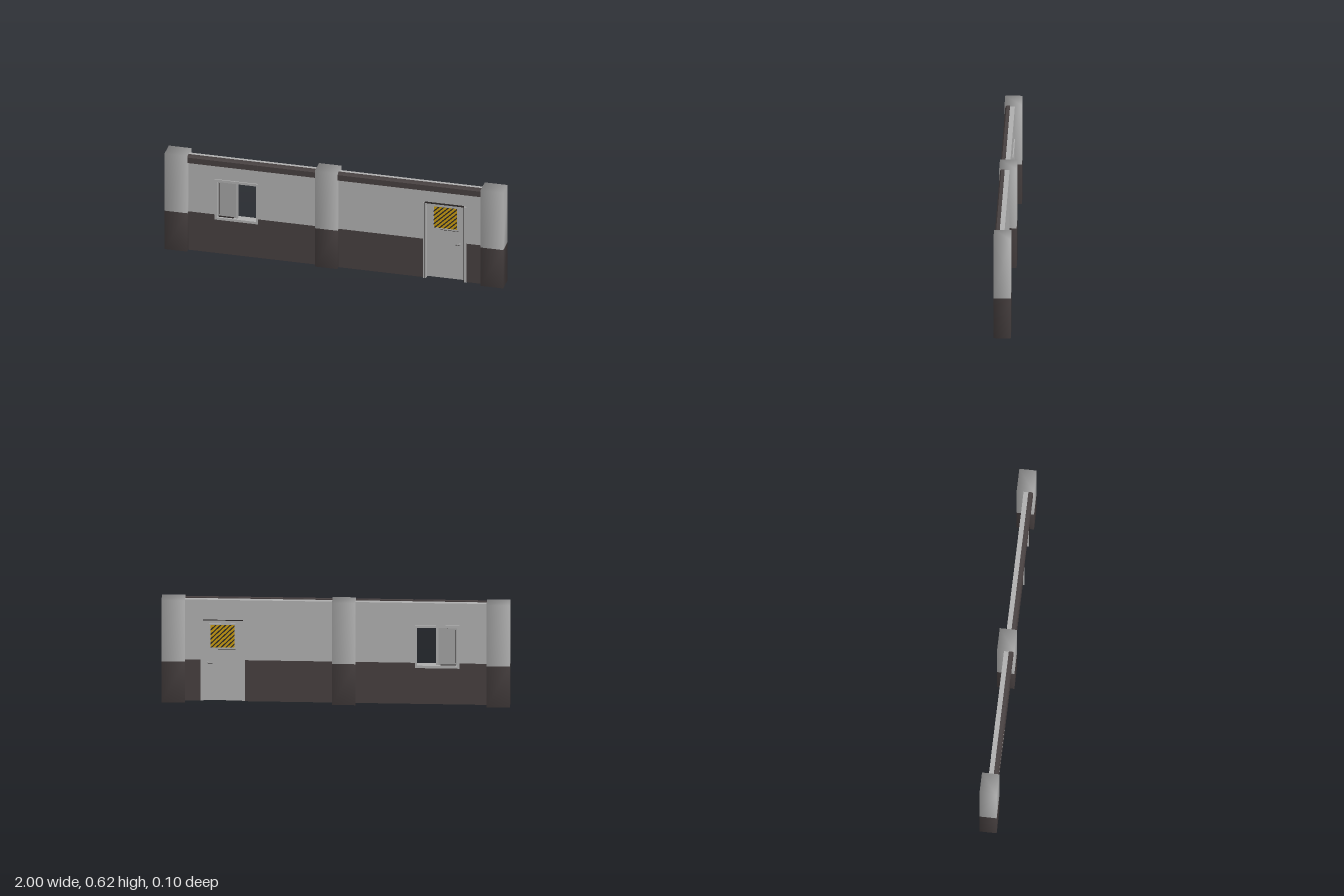
import * as THREE from 'three';
import { mergeVertices } from 'three/addons/utils/BufferGeometryUtils.js';

const mat = (name, color, side = THREE.FrontSide) => {
  const m = new THREE.MeshStandardMaterial({ color, side });
  m.name = name;
  return m;
};

export function createModel() {
  const root = new THREE.Group();
  root.name = 'wallSection';
  const light = mat('lightGrey', 0xaeaeae);
  const mid = mat('midGrey', 0xa2a2a2);
  const dark = mat('darkBrown', 0x463f3f);
  const black = mat('nearBlack', 0x2a2626);
  const yellow = mat('signYellow', 0xc99c10);

  const H = 0.622, BAND = 0.25;      // full height, top of the dark paint
  const BACK = -0.01, FRONT = 0.025; // wall faces

  const add = (name, geo, m, parent = root) => {
    const mesh = new THREE.Mesh(geo, m);
    mesh.name = name;
    parent.add(mesh);
    return mesh;
  };
  // box given by its limits
  const box = (name, m, x0, x1, y0, y1, z0, z1, parent = root) => {
    const g = new THREE.BoxGeometry(x1 - x0, y1 - y0, z1 - z0);
    g.translate((x0 + x1) / 2, (y0 + y1) / 2, (z0 + z1) / 2);
    return add(name, g, m, parent);
  };
  // wall slab from an outline
  const slab = (name, m, pts) => {
    const s = new THREE.Shape(pts.map(([x, y]) => new THREE.Vector2(x, y)));
    const g = new THREE.ExtrudeGeometry(s, { depth: FRONT - BACK, bevelEnabled: false });
    g.translate(0, 0, BACK);
    return add(name, g, m);
  };

  // pillars: softly shaded boxes, dark below and light above
  const pillarGeo = (w) => {
    let g = new THREE.BoxGeometry(w, H, 0.1, 1, 2, 1);
    g.translate(0, H / 2, 0);
    const p = g.attributes.position;
    for (let i = 0; i < p.count; i++) {
      if (Math.abs(p.getY(i) - H / 2) < 0.01) p.setY(i, BAND);
    }
    g.deleteAttribute('normal');
    g.deleteAttribute('uv');
    g.clearGroups();
    g = mergeVertices(g);
    g.computeVertexNormals();
    const q = g.attributes.position, idx = g.index.array, low = [], high = [];
    for (let i = 0; i < idx.length; i += 3) {
      const tri = [idx[i], idx[i + 1], idx[i + 2]];
      const y = tri.reduce((s, k) => s + q.getY(k), 0) / 3;
      (y < BAND ? low : high).push(...tri);
    }
    g.setIndex([...low, ...high]);
    g.addGroup(0, low.length, 0);
    g.addGroup(low.length, high.length, 1);
    return g;
  };
  for (const [name, x] of [['rightPillar', -0.933], ['middlePillar', -0.046], ['leftPillar', 0.933]]) {
    add(name, pillarGeo(0.134), [dark, light]).position.x = x;
  }

  // wall panels, notched for the window and the door
  const W = { x0: -0.705, x1: -0.458, y0: 0.224, y1: 0.477 };
  const D = { x0: 0.522, x1: 0.778, y1: 0.49 };
  const E = 0.9, TOP = 0.615;
  slab('upperWall', light, [
    [-E, BAND], [W.x0, BAND], [W.x0, W.y1], [W.x1, W.y1], [W.x1, BAND],
    [D.x0, BAND], [D.x0, D.y1], [D.x1, D.y1], [D.x1, BAND], [E, BAND], [E, TOP], [-E, TOP],
  ]);
  slab('lowerWall', dark, [
    [-E, 0], [D.x0, 0], [D.x0, BAND], [W.x1, BAND], [W.x1, W.y0], [W.x0, W.y0], [W.x0, BAND], [-E, BAND],
  ]);
  slab('lowerWallBesideDoor', dark, [[D.x1, 0], [E, 0], [E, BAND], [D.x1, BAND]]);

  // top beam: bevelled bar along the front, in three lengths
  const beam = new THREE.Shape([
    [0.018, 0.575], [0.045, 0.575], [0.045, 0.61], [0.038, 0.62], [0.018, 0.62],
  ].map(([z, y]) => new THREE.Vector2(-z, y)));
  for (const [x0, x1] of [[-0.868, -0.451], [-0.449, -0.112], [0.02, 0.868]]) {
    const g = new THREE.ExtrudeGeometry(beam, { depth: x1 - x0, bevelEnabled: false });
    g.rotateY(Math.PI / 2);
    g.translate(x0, 0, 0);
    add('topBeam', g, dark);
  }

  // window: frame, one closed sliding pane, the other half open
  const win = new THREE.Group();
  win.name = 'window';
  root.add(win);
  const fz = [BACK - 0.006, FRONT + 0.006];
  box('frameTop', light, -0.71, -0.453, 0.466, 0.481, ...fz, win);
  box('frameBottom', light, -0.71, -0.453, 0.22, 0.235, ...fz, win);
  box('frameSide', light, -0.71, -0.695, 0.235, 0.466, ...fz, win);
  box('frameSide', light, -0.464, -0.453, 0.235, 0.466, ...fz, win);
  box('slidingPane', mid, -0.695, -0.577, 0.235, 0.466, 0.0, 0.012, win);
  box('paneEdge', light, -0.588, -0.575, 0.235, 0.466, -0.003, 0.015, win);
  box('paneGroove', black, -0.688, -0.685, 0.25, 0.45, -0.001, 0.013, win);
  box('upperTrack', black, -0.695, -0.464, 0.462, 0.467, -0.005, 0.02, win);
  box('lowerTrack', black, -0.69, -0.6, 0.235, 0.239, -0.005, 0.02, win);

  // door: jambs, leaf, shadow gaps
  const door = new THREE.Group();
  door.name = 'door';
  root.add(door);
  box('jamb', light, D.x0, 0.54, 0, D.y1, BACK, 0.034, door);
  box('jamb', light, 0.76, D.x1, 0, D.y1, BACK, 0.034, door);
  box('lintel', light, 0.54, 0.76, 0.478, D.y1, BACK, 0.034, door);
  box('leaf', light, 0.54, 0.76, 0.004, 0.478, BACK, 0.012, door);
  box('topGap', black, 0.532, 0.762, 0.489, 0.494, BACK - 0.001, 0.035, door);
  for (const x of [0.532, 0.761]) box('sideGap', black, x, x + 0.002, 0, 0.49, 0.03, 0.0345, door);

  // striped sign on both faces of the leaf
  const S = 0.138, STEP = S / 5, WIDTH = STEP * 0.36;
  const ends = (c) => (c >= 0 ? [[c, 0], [S, S - c]] : [[0, -c], [S + c, S]]);
  const sign = (name, z, turn) => {
    const g = new THREE.Group();
    g.name = name;
    g.position.set(0.65, 0.396, z);
    g.rotation.y = turn;
    door.add(g);
    box('signPlate', yellow, -S / 2, S / 2, -S / 2, S / 2, 0, 0.003, g);
    for (let k = -4; k < 5; k++) {
      const [a, b] = ends(k * STEP), [d, c] = ends(k * STEP + WIDTH);
      const shape = new THREE.Shape([a, d, c, b].map(([x, y]) => new THREE.Vector2(x - S / 2, y - S / 2)));
      add('signStripe', new THREE.ShapeGeometry(shape), black, g).position.z = 0.0045;
    }
    for (const s of [-1, 1]) {
      box('signRim', light, -0.075, 0.075, s * 0.073 - 0.004, s * 0.073 + 0.004, 0, 0.006, g);
      box('signRim', light, s * 0.073 - 0.004, s * 0.073 + 0.004, -0.075, 0.075, 0, 0.006, g);
    }
    box('signLowerEdge', black, -0.03, 0.075, -0.08, -0.077, 0, 0.005, g);
    // lever handle
    const hx = turn ? -0.085 : 0.085;
    box('handlePost', mid, hx - 0.005, hx + 0.005, -0.17, -0.158, 0, 0.008, g);
    box('handleLever', mid, Math.min(hx, hx * 0.7), Math.max(hx, hx * 0.7), -0.165, -0.159, 0.005, 0.009, g);
    box('handleShadow', black, Math.min(hx, hx * 0.7), Math.max(hx, hx * 0.7), -0.168, -0.165, 0.005, 0.009, g);
  };
  sign('frontSign', 0.012, 0);
  sign('backSign', BACK, Math.PI);

  return root;
}
